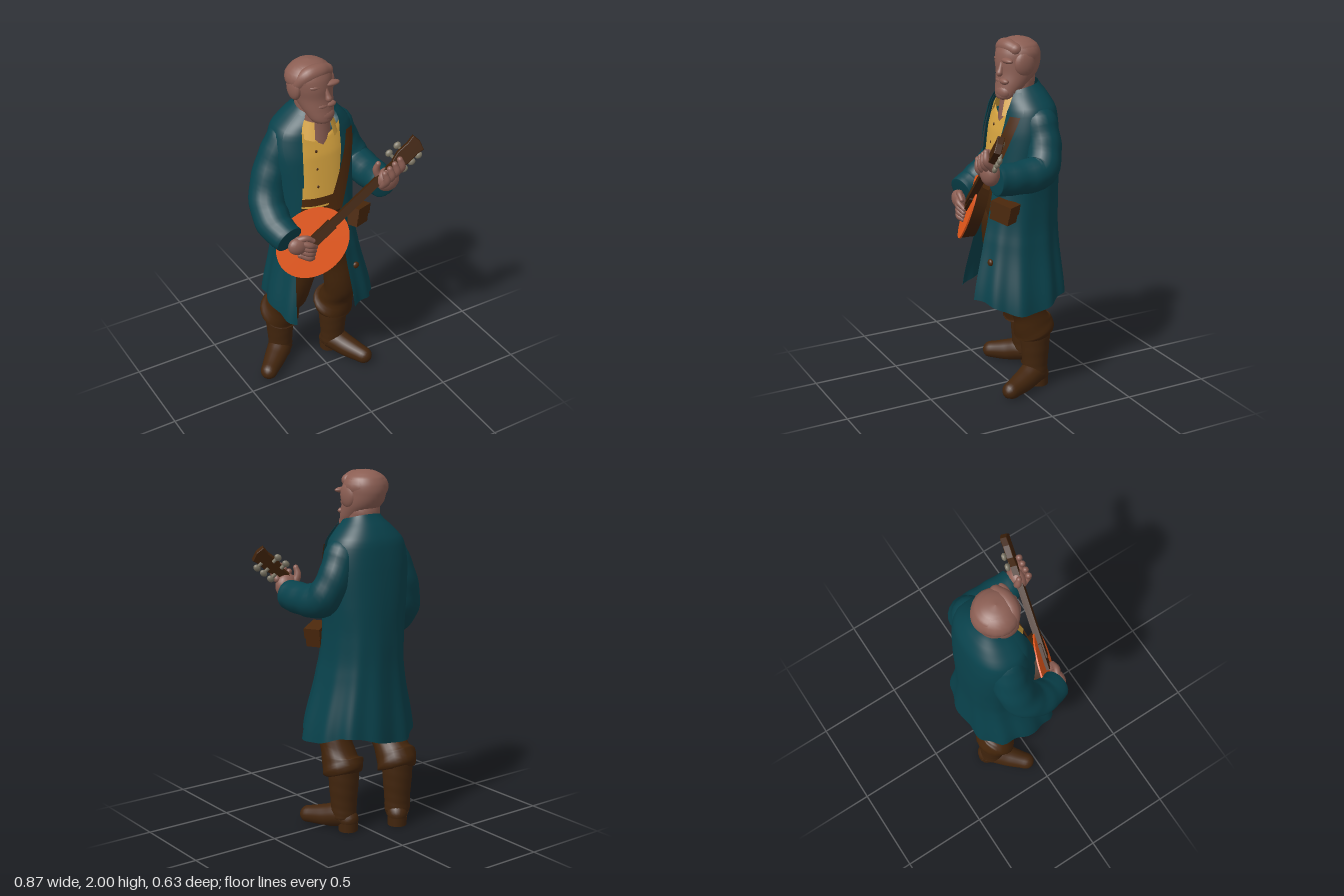
import * as THREE from 'three';

const mat = (name, color, side = THREE.FrontSide) => {
  const m = new THREE.MeshStandardMaterial({ color, side });
  m.name = name;
  return m;
};
const V = (x, y, z) => new THREE.Vector3(x, y, z);
const TAU = Math.PI * 2;

// smooth surface from f(u, v); u runs around, v runs along
function grid(nu, nv, f, wrap) {
  const pos = [], idx = [], cols = wrap ? nu : nu + 1;
  for (let i = 0; i <= nv; i++)
    for (let j = 0; j < cols; j++) pos.push(...f(j / nu, i / nv));
  for (let i = 0; i < nv; i++)
    for (let j = 0; j < nu; j++) {
      const k = (j + 1) % cols, a = i * cols + j, b = i * cols + k;
      idx.push(a, b, a + cols, b, b + cols, a + cols);
    }
  const g = new THREE.BufferGeometry();
  g.setAttribute('position', new THREE.Float32BufferAttribute(pos, 3));
  g.setIndex(idx);
  g.computeVertexNormals();
  return g;
}

// smooth interpolation of a table whose first column is the height
function sample(rows, y) {
  let i = 0;
  while (i < rows.length - 2 && rows[i + 1][0] <= y) i++;
  const p = rows[Math.max(i - 1, 0)], a = rows[i], b = rows[i + 1], q = rows[Math.min(i + 2, rows.length - 1)];
  const t = (y - a[0]) / (b[0] - a[0]);
  return a.map((c, k) => {
    const m = (b[k] - p[k]) / 2, n = (q[k] - c) / 2, d = b[k] - c;
    return c + m * t + (3 * d - 2 * m - n) * t * t + (m + n - 2 * d) * t * t * t;
  });
}

// closed loft of ellipses: [y, cx, cz, rx, rz]
function loft(rows, nv = 30) {
  const y0 = rows[0][0], y1 = rows[rows.length - 1][0];
  return grid(32, nv, (u, v) => {
    const y = y0 + (y1 - y0) * v, [, cx, cz, rx, rz] = sample(rows, y), a = u * TAU;
    return [cx + Math.max(rx, 0) * Math.sin(a), y, cz + Math.max(rz, 0) * Math.cos(a)];
  }, true);
}

// round limb through [x, y, z, radius] with domed or flat ends
function sweep(pts, dome0 = 1, dome1 = 1, folds = 0) {
  const curve = new THREE.CatmullRomCurve3(pts.map(p => V(p[0], p[1], p[2])));
  const n = 24, cap = 5, fr = curve.computeFrenetFrames(n), table = pts.map((p, i) => [i, p[3]]);
  return grid(20, n + 2 * cap, (u, v) => {
    const k = Math.round(v * (n + 2 * cap)) - cap, i = Math.min(Math.max(k, 0), n);
    const over = (k - i) / cap * Math.PI / 2;
    const t = i / n, a = u * TAU;
    let r = sample(table, t * (pts.length - 1))[1];
    const push = Math.sin(over) * r * (over < 0 ? dome0 : dome1);
    r *= Math.cos(over) * (1 + folds * Math.sin(t * 30 + 2 * Math.sin(a)));
    return curve.getPoint(t).addScaledVector(fr.tangents[i], push)
      .addScaledVector(fr.normals[i], r * Math.cos(a))
      .addScaledVector(fr.binormals[i], r * Math.sin(a)).toArray();
  }, true);
}

// coat: [y, cx, cz, rx, rz, left opening angle, right opening angle]
const COAT = [
  [0.54, -0.045, -0.035, 0.305, 0.275, 0.22, 0.85],
  [0.9, -0.045, -0.06, 0.235, 0.23, 0.22, 0.95],
  [1.1, -0.048, -0.08, 0.222, 0.21, 0.24, 0.8],
  [1.3, -0.05, -0.095, 0.232, 0.195, 0.25, 0.6],
  [1.5, -0.05, -0.105, 0.24, 0.175, 0.38, 0.53],
  [1.63, -0.045, -0.11, 0.215, 0.152, 0.45, 0.57],
  [1.71, -0.04, -0.095, 0.152, 0.125, 0.65, 0.75],
  [1.77, -0.035, -0.085, 0.1, 0.092, 0.8, 0.85],
];
function coatAt(y, angle, off = 0) {
  const [, cx, cz, rx, rz] = sample(COAT, y);
  const low = Math.max(0, (1.25 - y) / 0.7), high = Math.max(0, (y - 1.62) / 0.15);
  const k = 1 + 0.03 * low * Math.sin(angle * 11) + 0.015 * low * Math.sin(angle * 5 + 1);
  const se = w => Math.sign(w) * Math.pow(Math.abs(w), 0.86);
  const shift = low * low * 0.03 * Math.sin(angle * 3 + 0.6) - high * 0.025 * (1 + Math.cos(angle));
  return [cx + (rx * k + off) * se(Math.sin(angle)), y + shift, cz + (rz * k + off) * se(Math.cos(angle))];
}

export function createModel() {
  const root = new THREE.Group();
  root.name = 'banjoPlayer';
  const M = {
    coat: mat('teal cloth', 0x09424c, THREE.DoubleSide),
    skin: mat('skin', 0x8b5e53),
    shirt: mat('yellow shirt', 0xd6a33f, THREE.DoubleSide),
    trousers: mat('brown trousers', 0x42240a),
    boots: mat('boot leather', 0x42250d),
    leather: mat('strap leather', 0x4b280c, THREE.DoubleSide),
    wood: mat('dark wood', 0x40220a),
    face: mat('orange drumhead', 0xf05c1c),
    pegs: mat('grey pegs', 0x7b7564),
  };
  const add = (name, geo, m, parent = root) => {
    const mesh = new THREE.Mesh(geo, m);
    mesh.name = name;
    parent.add(mesh);
    return mesh;
  };
  const ball = (name, m, p, s, parent = root) => {
    const b = add(name, new THREE.SphereGeometry(1, 20, 14), m, parent);
    b.position.set(...p);
    b.scale.set(...s);
    return b;
  };

  // coat body, lapels and sleeves
  add('coat', grid(110, 50, (u, v) => {
    const y = 0.54 + 1.23 * v, r = sample(COAT, y);
    return coatAt(y, r[5] + u * (TAU - r[5] - r[6]));
  }), M.coat);
  for (const s of [1, -1])
    add(s > 0 ? 'leftLapel' : 'rightLapel', grid(8, 16, (u, v) => {
      const y = 1.34 + 0.41 * v, r = sample(COAT, y), w = 0.06 + 0.5 * Math.sin(Math.PI * Math.min(1, v * 0.75));
      return coatAt(y, s * ((s > 0 ? r[5] : r[6]) - 0.04 + u * w), 0.012);
    }), M.coat);
  add('rightSleeve', sweep([[-0.2, 1.555, -0.115, 0.095], [-0.265, 1.4, -0.12, 0.102], [-0.325, 1.23, -0.08, 0.103],
    [-0.342, 1.13, 0.03, 0.097], [-0.315, 1.09, 0.14, 0.083]], 1, 0.05, 0.02), M.coat);
  add('leftSleeve', sweep([[0.125, 1.55, -0.12, 0.095], [0.175, 1.43, -0.12, 0.094], [0.22, 1.32, -0.07, 0.097],
    [0.235, 1.3, 0.06, 0.09], [0.237, 1.305, 0.205, 0.085]], 1, 0.05, 0.02), M.coat);

  // shirt, open at the throat, with collar and buttons
  add('shirt', grid(48, 30, (u, v) => {
    const c = Math.max(0, Math.cos(u * TAU + 0.08));
    const p = coatAt(1.2 + 0.46 * v, u * TAU, -0.014);
    p[1] -= 0.07 * v ** 4 * c ** 8;
    return p;
  }, true), M.shirt);
  add('shirtCollar', grid(30, 6, (u, v) => {
    const a = 0.5 + u * (TAU - 1), r = 0.125 - 0.032 * v;
    return [-0.045 + r * Math.sin(a), 1.605 + 0.095 * v - 0.02 * Math.cos(a), -0.055 + r * Math.cos(a)];
  }), M.shirt);
  for (let i = 0; i < 3; i++)
    ball('shirtButton', M.leather, [-0.1 + 0.004 * i, 1.32 + 0.1 * i, 0.078 - 0.016 * i], [0.007, 0.009, 0.006]);

  // belt, strap, pouch and coat button
  add('belt', grid(40, 2, (u, v) => coatAt(1.215 + 0.045 * v, u * TAU, -0.008), true), M.leather);
  add('strap', grid(4, 20, (u, v) => {
    const y = 1.18 + 0.42 * v;
    return coatAt(y, 0.05 + 0.65 * v + (u - 0.5) * 0.33, 0.02);
  }), M.leather);
  const pouch = new THREE.Group();
  pouch.name = 'pouch';
  pouch.position.set(0.13, 1.085, 0.1);
  pouch.rotation.set(0, 0.5, -0.2);
  root.add(pouch);
  add('pouchBody', new THREE.BoxGeometry(0.12, 0.1, 0.085), M.leather, pouch);
  add('pouchFlap', new THREE.BoxGeometry(0.13, 0.06, 0.095), M.leather, pouch).position.y = 0.028;
  ball('coatButton', M.leather, coatAt(0.78, 0.5, 0.002), [0.02, 0.02, 0.014]);

  // head: skull, jaw, neck
  const head = new THREE.Group();
  head.name = 'head';
  root.add(head);
  add('skull', loft([[1.665, -0.032, 0.005, 0, 0], [1.675, -0.032, 0.005, 0.05, 0.046], [1.7, -0.035, -0.005, 0.07, 0.064],
    [1.75, -0.04, -0.035, 0.09, 0.088], [1.81, -0.047, -0.068, 0.105, 0.113], [1.87, -0.055, -0.08, 0.115, 0.126],
    [1.92, -0.058, -0.083, 0.118, 0.122], [1.96, -0.058, -0.083, 0.102, 0.103], [1.985, -0.06, -0.083, 0.068, 0.07],
    [1.996, -0.062, -0.083, 0.035, 0.035], [2, -0.062, -0.083, 0, 0]], 60), M.skin, head);
  add('neck', sweep([[-0.045, 1.53, -0.055, 0.095], [-0.045, 1.64, -0.06, 0.085], [-0.05, 1.78, -0.085, 0.09]]), M.skin, head);
  // face, hair and ears
  add('nose', sweep([[-0.027, 1.875, 0.03, 0.01], [-0.021, 1.835, 0.043, 0.014], [-0.018, 1.815, 0.05, 0.018]]), M.skin, head);
  for (const s of [1, -1]) {
    ball('brow', M.skin, [-0.028 + s * 0.042, 1.885, 0.02], [0.05, 0.016, 0.024], head);
    ball('moustache', M.skin, [-0.024 + s * 0.022, 1.772, 0.03], [0.038, 0.018, 0.022], head);
    ball('sideHair', M.skin, [-0.057 + s * 0.1, 1.865, -0.07], [0.03, 0.07, 0.06], head);
  }
  ball('beard', M.skin, [-0.03, 1.712, 0.018], [0.062, 0.048, 0.042], head);
  ball('hair', M.skin, [-0.062, 1.908, -0.085], [0.128, 0.09, 0.118], head);
  add('fringe', sweep([[0.015, 1.94, -0.03, 0.035], [-0.04, 1.95, -0.015, 0.042], [-0.1, 1.94, -0.02, 0.045],
    [-0.14, 1.895, -0.045, 0.04], [-0.15, 1.845, -0.065, 0.028]]), M.skin, head);

  // trousers and boots
  add('hips', loft([[0.82, -0.06, -0.05, 0, 0], [0.85, -0.06, -0.05, 0.12, 0.1], [0.98, -0.06, -0.05, 0.175, 0.135],
    [1.1, -0.06, -0.06, 0.18, 0.15], [1.24, -0.055, -0.08, 0.19, 0.16]], 20), M.trousers);
  const legs = [
    ['right', [[-0.135, 0.97, -0.03, 0.12], [-0.163, 0.75, -0.03, 0.1], [-0.188, 0.54, -0.08, 0.092],
      [-0.2, 0.43, -0.16, 0.098], [-0.21, 0.36, -0.19, 0.122], [-0.208, 0.325, -0.2, 0.1]],
      [-0.2, -0.208], [-0.18, -0.235], [-0.355, -0.065]],
    ['left', [[0.02, 0.97, -0.03, 0.12], [0.08, 0.75, -0.02, 0.1], [0.112, 0.54, -0.03, 0.1],
      [0.11, 0.43, -0.08, 0.1], [0.1, 0.365, -0.1, 0.12], [0.102, 0.33, -0.11, 0.1]],
      [0.105, -0.11], [0.097, -0.14], [0.2, 0.095]],
  ];
  for (const [side, pts, [x, z], [hx, hz], [tx, tz]] of legs) {
    add(side + 'TrouserLeg', sweep(pts, 1, 0.1, 0.02), M.trousers);
    add(side + 'BootShaft', sweep([[x, 0.38, z, 0.088], [x, 0.26, z, 0.082], [x, 0.15, z, 0.073], [x, 0.08, z, 0.072]], 0.2, 0.2, 0.006), M.boots);
    const foot = sweep([[hx, 0.065, hz, 0.058], [x, 0.085, z, 0.07], [(x + tx) / 2, 0.063, (z + tz) / 2, 0.063],
      [tx, 0.048, tz, 0.05]]);
    // flat underside
    const p = foot.attributes.position;
    for (let i = 0; i < p.count; i++) p.setY(i, Math.max(p.getY(i), 0.012));
    foot.computeVertexNormals();
    add(side + 'BootFoot', foot, M.boots);
    const heel = add(side + 'BootHeel', new THREE.CylinderGeometry(0.056, 0.054, 0.05, 20), M.boots);
    heel.position.set(hx, 0.025, hz);
  }

  // banjo: local x along the neck, z out of the drumhead
  const banjo = new THREE.Group();
  banjo.name = 'banjo';
  const Z = V(-0.4, 0.3, 0.87).normalize(), X = V(0.752, 0.642, 0.145);
  X.addScaledVector(Z, -X.dot(Z)).normalize();
  banjo.setRotationFromMatrix(new THREE.Matrix4().makeBasis(X, V(0, 0, 0).crossVectors(Z, X), Z));
  banjo.position.set(-0.183, 1.035, 0.16);
  root.add(banjo);
  const disc = (name, r0, r1, h, z, m) => {
    const d = add(name, new THREE.CylinderGeometry(r0, r1, h, 48).rotateX(Math.PI / 2), m, banjo);
    d.position.z = z;
    d.scale.set(0.217, 0.178, 1);
  };
  disc('banjoPot', 0.98, 0.82, 0.07, -0.038, M.wood);
  disc('banjoDrumhead', 1, 1, 0.009, 0.001, M.face);
  const bar = (name, x0, x1, w, d, z) => {
    const b = add(name, new THREE.BoxGeometry(x1 - x0, w, d), M.wood, banjo);
    b.position.set((x0 + x1) / 2, 0.006, z);
  };
  bar('banjoNeck', 0.06, 0.65, 0.044, 0.036, 0.014);
  bar('banjoFretEnd', -0.01, 0.15, 0.062, 0.02, 0.014);
  const hs = new THREE.Shape([[0.62, -0.02], [0.67, -0.034], [0.74, -0.03], [0.775, -0.036], [0.79, 0.008], [0.785, 0.05],
    [0.74, 0.042], [0.67, 0.044], [0.62, 0.03]].map(p => new THREE.Vector2(...p)));
  add('banjoHeadstock', new THREE.ExtrudeGeometry(hs, { depth: 0.03, bevelSize: 0.004, bevelThickness: 0.004 }), M.wood, banjo);
  for (const [x, s] of [[0.63, 1], [0.69, 1], [0.63, -1], [0.685, -1], [0.735, -1]]) {
    const peg = add('tuningPeg', new THREE.CylinderGeometry(0.01, 0.01, 0.04, 10), M.pegs, banjo);
    peg.position.set(x, 0.006 + s * 0.042, -0.008);
    ball('tuningKnob', M.pegs, [x, 0.006 + s * 0.06, -0.01], [0.022, 0.018, 0.014], banjo);
  }

  // hands
  ball('rightPalm', M.skin, [-0.282, 1.055, 0.175], [0.06, 0.05, 0.036]).rotation.z = -0.4;
  for (let k = 0; k < 4; k++)
    add('rightFinger', sweep([[-0.27, 1.075 - 0.026 * k, 0.18, 0.018], [-0.225, 1.055 - 0.027 * k, 0.202, 0.018],
      [-0.182 - 0.006 * k, 1.025 - 0.022 * k, 0.19, 0.013]]), M.skin);
  add('rightThumb', sweep([[-0.28, 1.09, 0.17, 0.02], [-0.24, 1.1, 0.19, 0.017], [-0.2, 1.075, 0.195, 0.013]]), M.skin);
  ball('leftPalm', M.skin, [0.235, 1.35, 0.24], [0.068, 0.07, 0.05]);
  for (let k = 0; k < 4; k++) {
    const x = 0.195 + 0.031 * k, y = 0.02 * k;
    add('leftFinger', sweep([[x, 1.33 + y, 0.255, 0.02], [x + 0.004, 1.375 + y, 0.29, 0.02], [x - 0.008, 1.42 + y, 0.285, 0.016]]), M.skin);
  }
  add('leftThumb', sweep([[0.2, 1.36, 0.22, 0.022], [0.18, 1.41, 0.212, 0.02], [0.185, 1.45, 0.222, 0.015]]), M.skin);
  return root;
}
